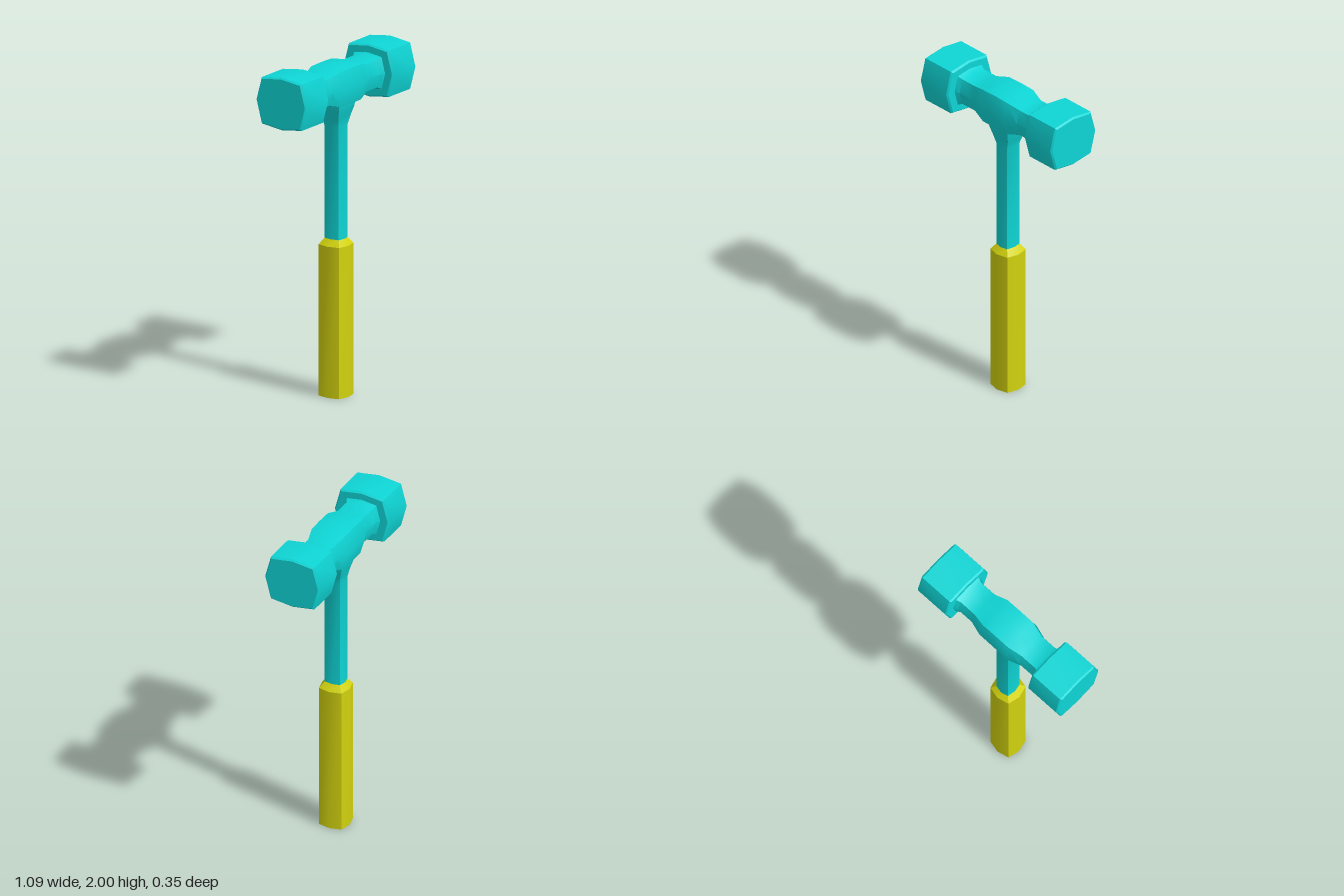
import * as THREE from 'three';
import { toCreasedNormals } from 'three/addons/utils/BufferGeometryUtils.js';

const STEEL = 0x0fd6d6, GRIP = 0xd2d20f;
const HEAD_Y = 1.845;

// Bulged-square octagon: four axis points and four corner points (u, v)
function octagon(hu, hv, cu, cv) {
  const a = hu * cu, b = hv * cv;
  return [[hu, 0], [a, b], [0, hv], [-a, b], [-hu, 0], [-a, -b], [0, -hv], [a, -b]];
}

// Lofts octagons along an axis; each section is [position, half u, half v]
function loft(sections, cu, cv, place) {
  const pos = [], index = [], n = 8, last = sections.length - 1;
  sections.forEach(([t, hu, hv]) => {
    for (const [u, v] of octagon(hu, hv, cu, cv)) pos.push(...place(u, v, t));
  });
  for (let i = 0; i < last; i++) {
    for (let j = 0; j < n; j++) {
      const a = i * n + j, b = i * n + (j + 1) % n;
      index.push(a, b, b + n, a, b + n, a + n);
    }
  }
  // End caps
  const start = pos.length / 3;
  pos.push(...place(0, 0, sections[0][0]), ...place(0, 0, sections[last][0]));
  for (let j = 0; j < n; j++) {
    const k = (j + 1) % n;
    index.push(start, k, j, start + 1, last * n + j, last * n + k);
  }
  const geo = new THREE.BufferGeometry();
  geo.setAttribute('position', new THREE.Float32BufferAttribute(pos, 3));
  geo.setIndex(index);
  return toCreasedNormals(geo, 0.6);
}

const alongY = (u, v, t) => [v, t, u];
const alongX = (u, v, t) => [t, u + HEAD_Y, v];

export function createModel() {
  const model = new THREE.Group();
  const steel = new THREE.MeshStandardMaterial({ color: STEEL });
  const yellow = new THREE.MeshStandardMaterial({ color: GRIP });

  function add(name, geo, material) {
    const mesh = new THREE.Mesh(geo, material);
    mesh.name = name;
    model.add(mesh);
  }

  // Handle grip, tapering in to the shaft
  add('grip', loft([
    [0, 0.088, 0.088], [0.895, 0.088, 0.088], [0.932, 0.06, 0.055],
  ], 0.81, 0.81, alongY), yellow);

  // Shaft, flaring out into the head
  add('shaft', loft([
    [0.92, 0.06, 0.055], [1.6, 0.06, 0.055], [1.655, 0.073, 0.076],
    [1.7, 0.089, 0.09], [1.745, 0.1, 0.102], [1.8, 0.1, 0.11],
  ], 0.82, 0.82, alongY), steel);

  // Head: swollen middle with a narrower neck on both sides
  const half = [[0.1, 0.118, 0.131], [0.185, 0.092, 0.105], [0.29, 0.092, 0.105], [0.322, 0.11, 0.122]];
  const mirrored = half.map(([x, y, z]) => [-x, y, z]).reverse();
  add('headBody', loft([...mirrored, [0, 0.121, 0.131], ...half], 0.88, 0.79, alongX), steel);

  // Striking faces with bevelled rims
  for (const side of [1, -1]) {
    const rings = [
      [0.317, 0.147, 0.166], [0.328, 0.156, 0.176],
      [0.537, 0.156, 0.176], [0.547, 0.147, 0.166],
    ].map(([x, y, z]) => [side * x, y, z]);
    if (side < 0) rings.reverse();
    add(side > 0 ? 'leftStrikingFace' : 'rightStrikingFace', loft(rings, 0.88, 0.79, alongX), steel);
  }
  return model;
}
